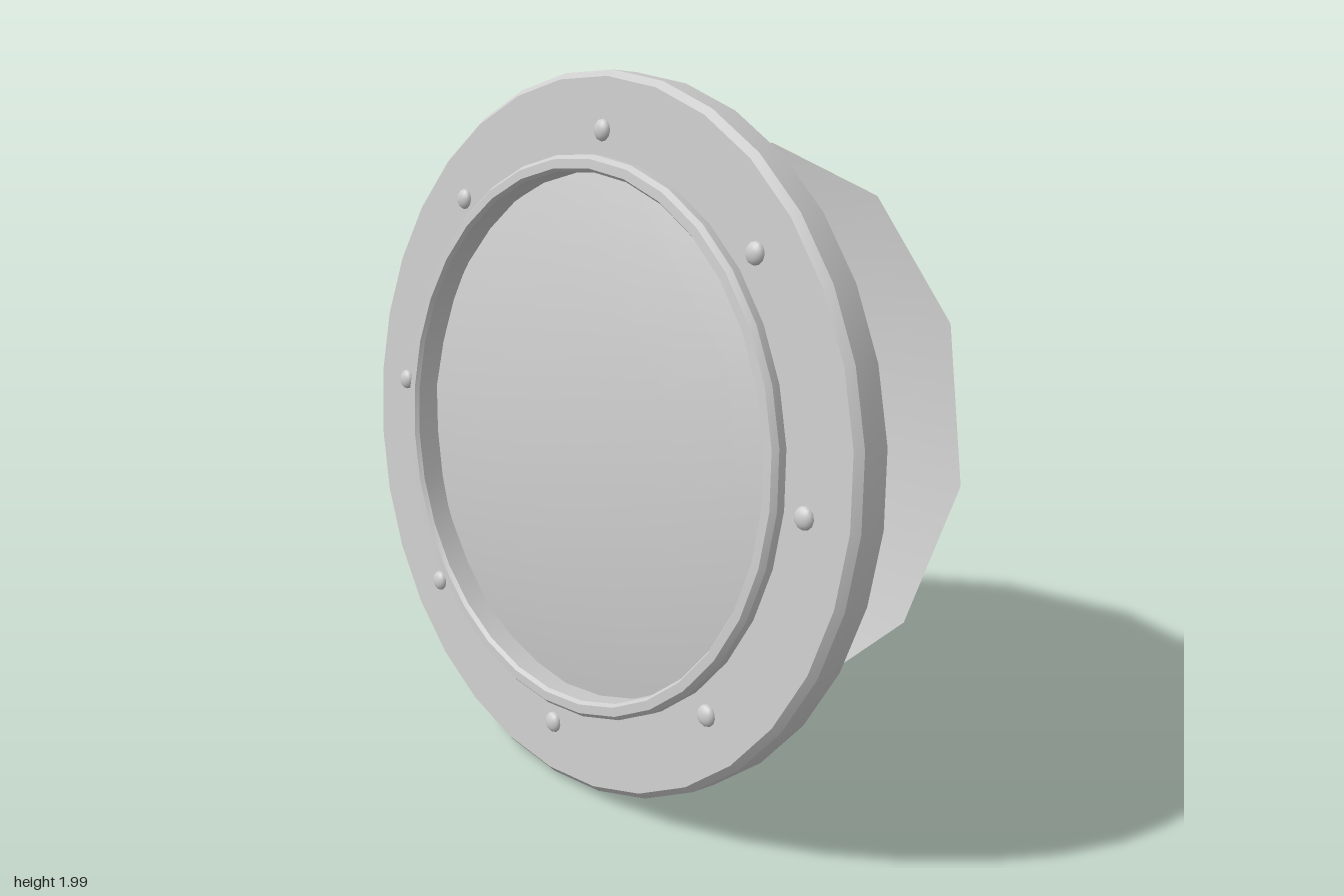
import * as THREE from 'three';
import { toCreasedNormals } from 'three/addons/utils/BufferGeometryUtils.js';

const material = new THREE.MeshStandardMaterial({ color: 0xcccccc, side: THREE.DoubleSide });

function add(parent, name, geometry) {
  const mesh = new THREE.Mesh(geometry, material);
  mesh.name = name;
  parent.add(mesh);
  return mesh;
}

// Ring turned about the z axis from [radius, z] pairs
function turned(points) {
  const profile = points.map(([r, z]) => new THREE.Vector2(r, z));
  const geometry = new THREE.LatheGeometry(profile, 32).rotateX(Math.PI / 2);
  return toCreasedNormals(geometry, 0.5);
}

// Shallow twelve-sided spherical cap, rim at z = 0, bulging towards +z
function cap(radius, height) {
  const R = (radius * radius + height * height) / (2 * height);
  return new THREE.SphereGeometry(R, 12, 4, 0, Math.PI * 2, 0, Math.asin(radius / R))
    .translate(0, height - R, 0)
    .rotateX(Math.PI / 2);
}

export function createModel() {
  const model = new THREE.Group();
  model.name = 'porthole';

  // Window assembly, leaning back
  const frame = new THREE.Group();
  frame.name = 'windowFrame';
  frame.position.set(0, 0.993, 0.228);
  frame.rotation.x = -0.126;
  model.add(frame);

  // Hollow flange, open at the back
  add(frame, 'flange', turned([[0.998, -0.004], [0.998, 0.078], [0.98, 0.097], [0.765, 0.097]]));

  // Raised lip that runs back into a thin tube
  add(frame, 'rimTube', turned([
    [0.775, 0.092], [0.775, 0.122], [0.763, 0.136], [0.738, 0.137], [0.73, 0.125], [0.73, -0.072],
  ]));

  // Flat collar around the back end of the tube
  add(frame, 'backCollar', new THREE.RingGeometry(0.73, 0.82, 32)).position.z = -0.072;

  // Glass, its corners tucked behind the flange
  add(frame, 'glass', cap(0.81, 0.09)).position.z = 0.045;

  // Eight low domed bolts
  const boltGeometry = new THREE.SphereGeometry(0.03, 12, 5, 0, Math.PI * 2, 0, Math.PI / 2)
    .rotateX(Math.PI / 2)
    .scale(1, 1, 0.6);
  for (let i = 0; i < 8; i++) {
    const a = (i * Math.PI) / 4;
    add(frame, 'bolt', boltGeometry).position.set(0.84 * Math.cos(a), 0.84 * Math.sin(a), 0.097);
  }

  // Separate backing dish, bulging backwards
  const dish = add(model, 'backDish', cap(0.835, 0.105).rotateY(Math.PI));
  dish.position.set(0, 0.932, -0.303);
  dish.rotation.x = -0.163;

  return model;
}
